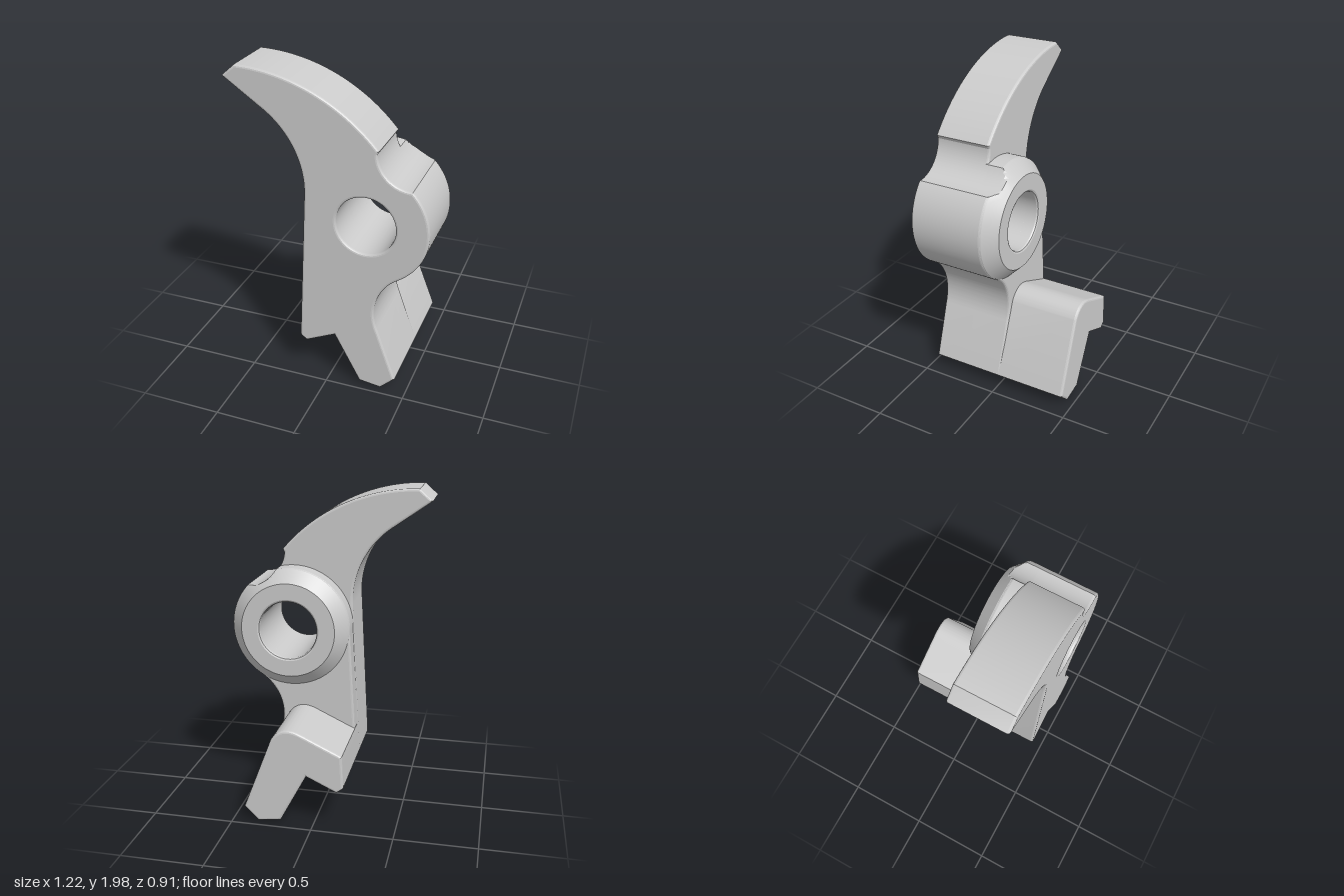
import * as THREE from 'three';
import { toCreasedNormals } from 'three/addons/utils/BufferGeometryUtils.js';

const HUB = { x: 0.235, y: 1.14, r: 0.375, bore: 0.18 };
const NOTCH = { x: 0.5, y: 1.6, r: 0.2 };
const rad = THREE.MathUtils.degToRad;

// Arc given in degrees
function arc(path, x, y, r, from, to) {
  path.absarc(x, y, r, rad(from), rad(to), to < from);
}

// Bottom outline shared by all layers, from the left side round to the right flank
function addFoot(p) {
  p.lineTo(-0.188, 0.31);
  p.quadraticCurveTo(-0.19, 0.255, -0.14, 0.26);
  p.lineTo(0.04, 0.345);
  p.quadraticCurveTo(0.075, 0.365, 0.09, 0.325);
  p.lineTo(0.2, 0.04);
  p.quadraticCurveTo(0.215, 0, 0.25, 0.002);
  p.lineTo(0.34, 0.018);
  p.quadraticCurveTo(0.365, 0.02, 0.38, 0.04);
  p.lineTo(0.43, 0.105);
  p.quadraticCurveTo(0.445, 0.12, 0.435, 0.145);
}

// Concave flank from the foot up to the hub
function addFlank(p) {
  arc(p, 0.6, 0.56, 0.31, 203, 122.2);
}

// Full outline with the hooked arm
function leverPath() {
  const p = new THREE.Path();
  arc(p, HUB.x, HUB.y, HUB.r, -57.8, 43.9);
  arc(p, NOTCH.x, NOTCH.y, NOTCH.r, 271.4, 183);
  p.lineTo(0.31, 1.61);
  arc(p, -0.53, 0.9, 1.1, 40.2, 90);
  p.quadraticCurveTo(-0.555, 2, -0.57, 1.98);
  p.lineTo(-0.61, 1.93);
  p.quadraticCurveTo(-0.622, 1.912, -0.6, 1.9);
  arc(p, -0.695, 1.305, 0.56, 57.3, -3);
  addFoot(p);
  addFlank(p);
  return p;
}

// Hub and leg only
function bodyPath() {
  const p = new THREE.Path();
  arc(p, HUB.x, HUB.y, HUB.r, -57.8, 43.9);
  arc(p, NOTCH.x, NOTCH.y, NOTCH.r, 271.4, 208.7);
  arc(p, HUB.x, HUB.y, HUB.r, 76.1, 183);
  addFoot(p);
  addFlank(p);
  return p;
}

// Bent bar section of the rear foot
function footPath() {
  const p = new THREE.Path();
  p.moveTo(0.255, 0.565);
  p.quadraticCurveTo(0.19, 0.67, 0.07, 0.612);
  p.lineTo(-0.178, 0.495);
  addFoot(p);
  return p;
}

// Slab between two depths with softly rounded edges
function slab(path, z0, z1, bored) {
  const pts = path.getPoints(28).filter((v, i, a) =>
    v.distanceTo(a[(i + a.length - 1) % a.length]) > 0.003);
  const shape = new THREE.Shape(pts);
  if (bored) {
    const hole = new THREE.Path();
    hole.absarc(HUB.x, HUB.y, HUB.bore, 0, Math.PI * 2, true);
    shape.holes.push(hole);
  }
  const b = 0.015;
  const geo = new THREE.ExtrudeGeometry(shape, {
    depth: z1 - z0 - 2 * b, curveSegments: 36,
    bevelThickness: b, bevelSize: b, bevelOffset: -b, bevelSegments: 3,
  });
  geo.translate(0, 0, z0 + b);
  return toCreasedNormals(geo, 0.25);
}

// Chamfered boss behind the hub, pressed in where the notch crosses it
function bossGeometry() {
  const profile = [
    [0.18, 0.1], [0.18, -0.075], [0.185, -0.085], [0.195, -0.09], [0.295, -0.09],
    [0.315, -0.07], [0.335, -0.05], [0.355, -0.03], [0.37, -0.015], [0.375, 0], [0.375, 0.085],
  ].map(([r, z]) => new THREE.Vector2(r, z));
  const geo = new THREE.LatheGeometry(profile, 96);
  geo.rotateX(Math.PI / 2).translate(HUB.x, HUB.y, 0);
  const pos = geo.attributes.position;
  for (let i = 0; i < pos.count; i++) {
    const dx = pos.getX(i) - NOTCH.x, dy = pos.getY(i) - NOTCH.y;
    const d = Math.hypot(dx, dy);
    if (d < NOTCH.r) {
      pos.setXY(i, NOTCH.x + dx * NOTCH.r / d, NOTCH.y + dy * NOTCH.r / d);
    }
  }
  return toCreasedNormals(geo, 0.3);
}

export function createModel() {
  const group = new THREE.Group();
  group.name = 'lever';
  const material = new THREE.MeshStandardMaterial({ color: 0xcccccc });
  const add = (name, geo) => {
    const mesh = new THREE.Mesh(geo, material);
    mesh.name = name;
    group.add(mesh);
  };
  add('leverPlate', slab(leverPath(), 0.095, 0.455, true));
  add('hubAndLeg', slab(bodyPath(), -0.015, 0.25, true));
  add('hubBoss', bossGeometry());
  add('rearFoot', slab(footPath(), -0.455, 0.1, false));
  return group;
}
